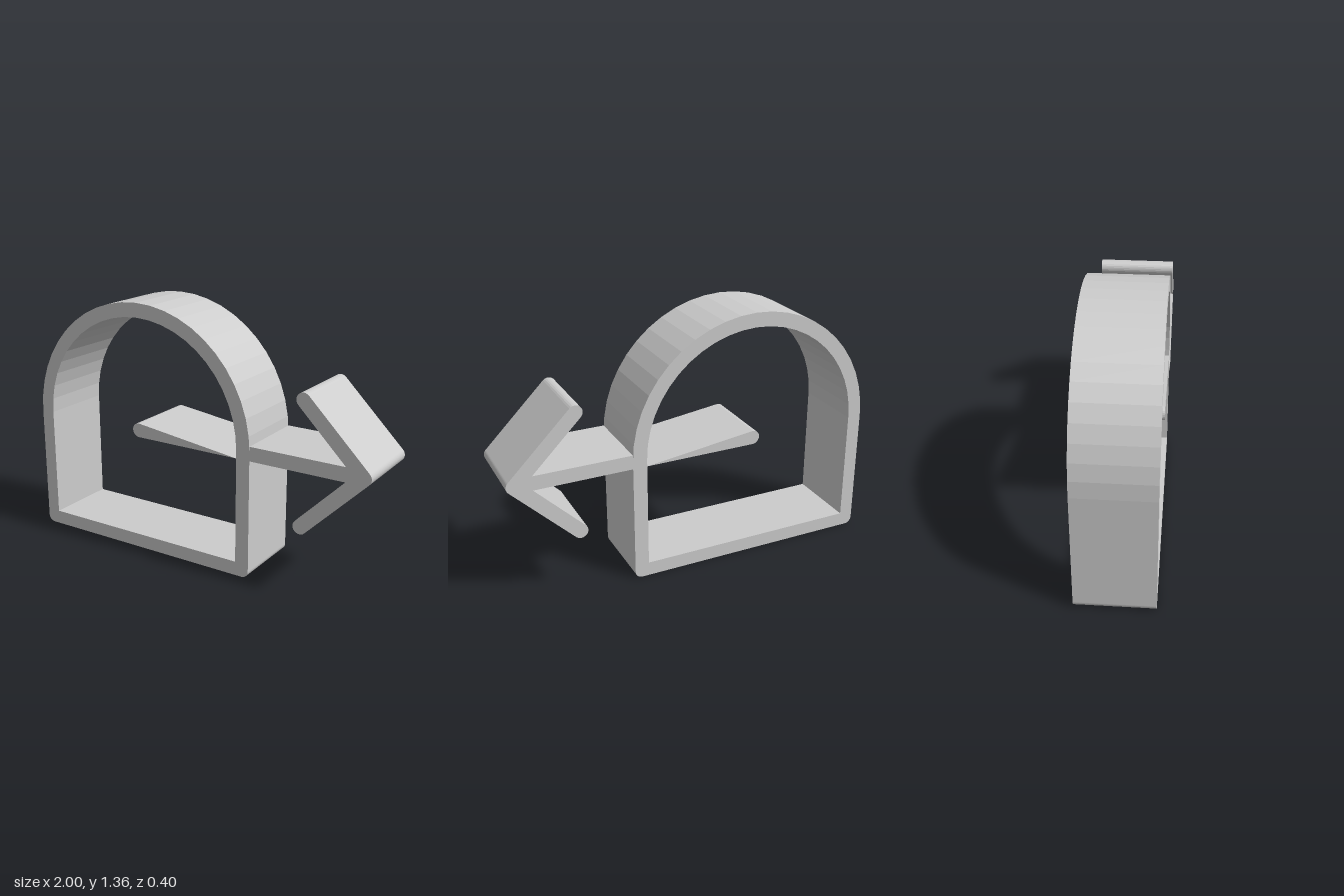
import * as THREE from 'three';

const R = 0.038;      // half the bar thickness
const DEPTH = 0.4;
const MID = 0.68;     // height of the arch centre and the shaft
const CX = -0.322;    // arch centre
const ARC = 0.64;     // arch radius along the middle of the bar
const APEX = 0.962;   // centre of the rounded arrow point
const ARM = 0.32;     // reach of each arrow arm in x and y

export function createModel() {
  const group = new THREE.Group();
  const grey = new THREE.MeshStandardMaterial({ color: 0xcccccc });
  grey.name = 'light grey';

  function addPart(name, shape, curveSegments) {
    const geometry = new THREE.ExtrudeGeometry(shape, { depth: DEPTH, bevelEnabled: false, curveSegments });
    geometry.translate(0, 0, -DEPTH / 2);
    const mesh = new THREE.Mesh(geometry, grey);
    mesh.name = name;
    group.add(mesh);
  }

  // Arched frame with rounded lower corners and an arched opening
  const outer = ARC + R, inner = ARC - R;
  const frame = new THREE.Shape();
  frame.absarc(CX, MID, outer, 0, Math.PI, false);
  frame.absarc(CX - ARC, R, R, Math.PI, Math.PI * 1.5, false);
  frame.absarc(CX + ARC, R, R, Math.PI * 1.5, Math.PI * 2, false);
  frame.closePath();
  const opening = new THREE.Path();
  opening.absarc(CX, MID, inner, 0, Math.PI, false);
  opening.lineTo(CX - inner, 2 * R);
  opening.lineTo(CX + inner, 2 * R);
  opening.closePath();
  frame.holes.push(opening);
  addPart('archedFrame', frame, 12);

  // Shaft inside the frame, with a rounded free end
  const shaft = new THREE.Shape();
  shaft.moveTo(CX + inner, MID + R);
  shaft.absarc(CX, MID, R, Math.PI / 2, Math.PI * 1.5, false);
  shaft.lineTo(CX + inner, MID - R);
  shaft.closePath();
  addPart('innerShaft', shaft, 6);

  // Outer shaft and arrowhead in one outline
  const q = Math.PI / 4;
  const start = CX + outer;
  const notch = APEX - R - R * Math.SQRT2;   // where the shaft meets the arms
  const arrow = new THREE.Shape();
  arrow.moveTo(start, MID - R);
  arrow.lineTo(notch, MID - R);
  arrow.absarc(APEX - ARM, MID - ARM, R, 3 * q, 7 * q, false);
  arrow.absarc(APEX, MID, R, -q, q, false);
  arrow.absarc(APEX - ARM, MID + ARM, R, q, 5 * q, false);
  arrow.lineTo(notch, MID + R);
  arrow.lineTo(start, MID + R);
  arrow.closePath();
  addPart('arrowHead', arrow, 6);

  return group;
}
